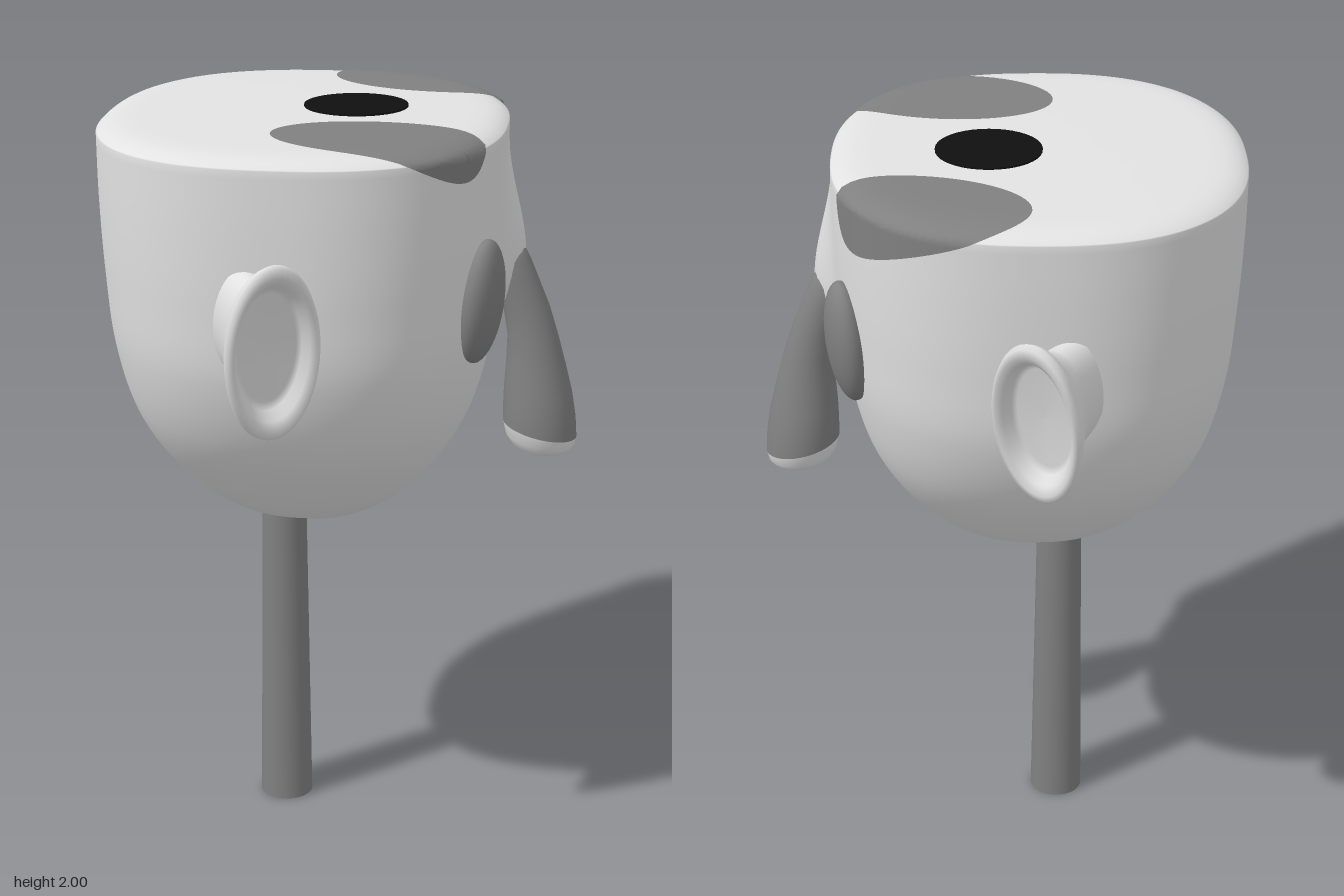
import * as THREE from 'three';

const POWER = 2.4, HEAD_X = -0.1, TOP_A = 0.532, TOP_B = 0.597;

// Rounded-square outline point at an angle, for half widths a (x) and b (z)
function outline(th, a, b, n) {
  const c = Math.cos(th), s = Math.sin(th);
  const r = 1 / Math.pow(Math.abs(c) ** n + Math.abs(s) ** n, 1 / n);
  return [a * r * c, b * r * s];
}

// Closed skin over rings listed from bottom to top: { y, cx, a, b, slope }
function loft(rings, segs, n = 2, shape = () => 0) {
  const pos = [], idx = [];
  rings.forEach(({ y, cx, a, b, slope = 0 }, i) => {
    for (let j = 0; j < segs; j++) {
      const [x, z] = outline((j / segs) * Math.PI * 2, a, b, n);
      pos.push(cx + x + shape(x, y, z), y + x * slope, z);
      if (i === rings.length - 1) continue;
      const p = i * segs + j, q = i * segs + ((j + 1) % segs);
      idx.push(p, p + segs, q, q, p + segs, q + segs);
    }
  });
  const g = new THREE.BufferGeometry();
  g.setAttribute('position', new THREE.Float32BufferAttribute(pos, 3));
  g.setIndex(idx);
  g.computeVertexNormals();
  return g;
}

const topY = (rho) => 1.995 - 0.03 * rho ** 16;

function headGeometry() {
  // Half widths from the chin to the rim
  const curve = new THREE.CatmullRomCurve3([
    [0.001, 0.868, 0.001], [0.15, 0.893, 0.13], [0.31, 1.0, 0.285], [0.445, 1.2, 0.465],
    [0.5, 1.4, 0.553], [0.52, 1.6, 0.58], [0.53, 1.8, 0.592], [TOP_A, 1.965, TOP_B],
  ].map((p) => new THREE.Vector3(...p)));
  const rings = curve.getPoints(56).map((p) => ({ y: p.y, cx: HEAD_X, a: p.x, b: p.z }));
  // Soft rim and nearly flat crown
  for (const rho of [0.995, 0.985, 0.97, 0.95, 0.92, 0.88, 0.8, 0.5, 0.001])
    rings.push({ y: topY(rho), cx: HEAD_X, a: TOP_A * rho, b: TOP_B * rho });
  // Bridge of the nose swells out of the face
  const bridge = (x, y, z) => {
    if (x < 0.3 || y < 1.42 || y > 1.95) return 0;
    const t = y > 1.6 ? (1.95 - y) / 0.35 : (y - 1.42) / 0.18;
    return 0.065 * t * t * (3 - 2 * t) * Math.exp(-((z / 0.075) ** 2));
  };
  return loft(rings, 128, POWER, bridge);
}

// Elliptical patch laid on the crown and folded over the rim
function spotGeometry(cx, cz, rx, rz, turn) {
  const g = new THREE.RingGeometry(0.001, 1, 64, 20);
  g.rotateX(-Math.PI / 2);
  const p = g.attributes.position;
  for (let i = 0; i < p.count; i++) {
    const u = p.getX(i) * rx, v = p.getZ(i) * rz;
    let x = cx + u * Math.cos(turn) - v * Math.sin(turn) - HEAD_X;
    let z = cz + u * Math.sin(turn) + v * Math.cos(turn);
    const rho = (Math.abs(x / TOP_A) ** POWER + Math.abs(z / TOP_B) ** POWER) ** (1 / POWER);
    const k = (rho > 1 ? 1 / rho : 1) * (1 + 0.008 * Math.min(rho, 1) ** 8);
    const y = rho > 1 ? 1.968 - (rho - 1) * 0.55 : topY(rho) + 0.004;
    p.setXYZ(i, HEAD_X + x * k, y, z * k);
  }
  g.computeVertexNormals();
  return g;
}

// Dished ear with a rolled rim; side is +1 or -1 along z
function earGeometry(side) {
  const profile = [[0.62, -0.17], [0.64, -0.1], [0.78, -0.045], [0.94, -0.02], [1, 0],
    [0.97, 0.014], [0.88, 0.018], [0.78, 0.006], [0.7, -0.02], [0.62, -0.03], [0.001, -0.034]];
  const g = new THREE.LatheGeometry(profile.map((q) => new THREE.Vector2(...q)), 48);
  const across = new THREE.Vector3(-0.105, 0, 0.075 * side);
  const up = new THREE.Vector3(0.015, 0.24, 0.055 * side);
  const [ax, az] = side > 0 ? [across, up] : [up, across];
  const out = az.clone().cross(ax).normalize();
  const m = new THREE.Matrix4().makeBasis(ax, out, az).setPosition(-0.088, 1.53, 0.665 * side);
  return g.applyMatrix4(m);
}

export function createModel() {
  const model = new THREE.Group();
  const mat = (name, color) => Object.assign(new THREE.MeshStandardMaterial({ color }), { name });
  const skin = mat('pale skin', 0xe2e2e2);
  const grey = mat('grey', 0x808080);
  const black = mat('black', 0x101010);
  const add = (name, geometry, material) => {
    const mesh = new THREE.Mesh(geometry, material);
    mesh.name = name;
    model.add(mesh);
    return mesh;
  };

  add('head', headGeometry(), skin);

  // Crown markings
  add('leftSpot', spotGeometry(0.14, 0.34, 0.285, 0.175, 0.14), grey);
  add('rightSpot', spotGeometry(0.2, -0.41, 0.28, 0.175, 0.22), grey);
  const hole = add('crownHole', new THREE.CylinderGeometry(0.137, 0.137, 0.006, 40), black);
  hole.position.set(0.028, 1.997, -0.047);

  // Drooping nose with a pale tip
  const ring = (y, cx, a, b, slope = 0) => ({ y, cx, a, b, slope });
  const seam = ring(1.14, 0.535, 0.1, 0.105, -0.22);
  add('nose', loft([seam, ring(1.19, 0.533, 0.098, 0.104, -0.16), ring(1.25, 0.528, 0.092, 0.094, -0.1),
    ring(1.32, 0.52, 0.08, 0.08), ring(1.4, 0.51, 0.068, 0.067), ring(1.48, 0.491, 0.062, 0.06),
    ring(1.56, 0.462, 0.058, 0.056), ring(1.61, 0.443, 0.056, 0.055), ring(1.645, 0.435, 0.046, 0.042),
    ring(1.665, 0.43, 0.025, 0.022), ring(1.67, 0.43, 0.001, 0.001)], 40), grey);
  add('noseTip', loft([ring(1.07, 0.545, 0.001, 0.001), ring(1.073, 0.545, 0.045, 0.045, -0.04),
    ring(1.088, 0.54, 0.077, 0.08, -0.1), ring(1.11, 0.537, 0.093, 0.097, -0.16), seam], 40), skin);

  // Paired eyes and ears
  for (const [side, label] of [[1, 'left'], [-1, 'right']]) {
    const eye = add(label + 'Eye', new THREE.SphereGeometry(1, 32, 24), grey);
    eye.scale.set(0.055, 0.165, 0.097);
    eye.position.set(0.388, 1.565, 0.267 * side);
    eye.rotation.set(0, -0.25 * side, -0.1);
    add(label + 'Ear', earGeometry(side), skin);
  }

  // Stick, slightly wider at the foot
  add('stick', new THREE.CylinderGeometry(0.06, 0.073, 0.95, 32).translate(-0.165, 0.475, 0), grey);
  return model;
}
